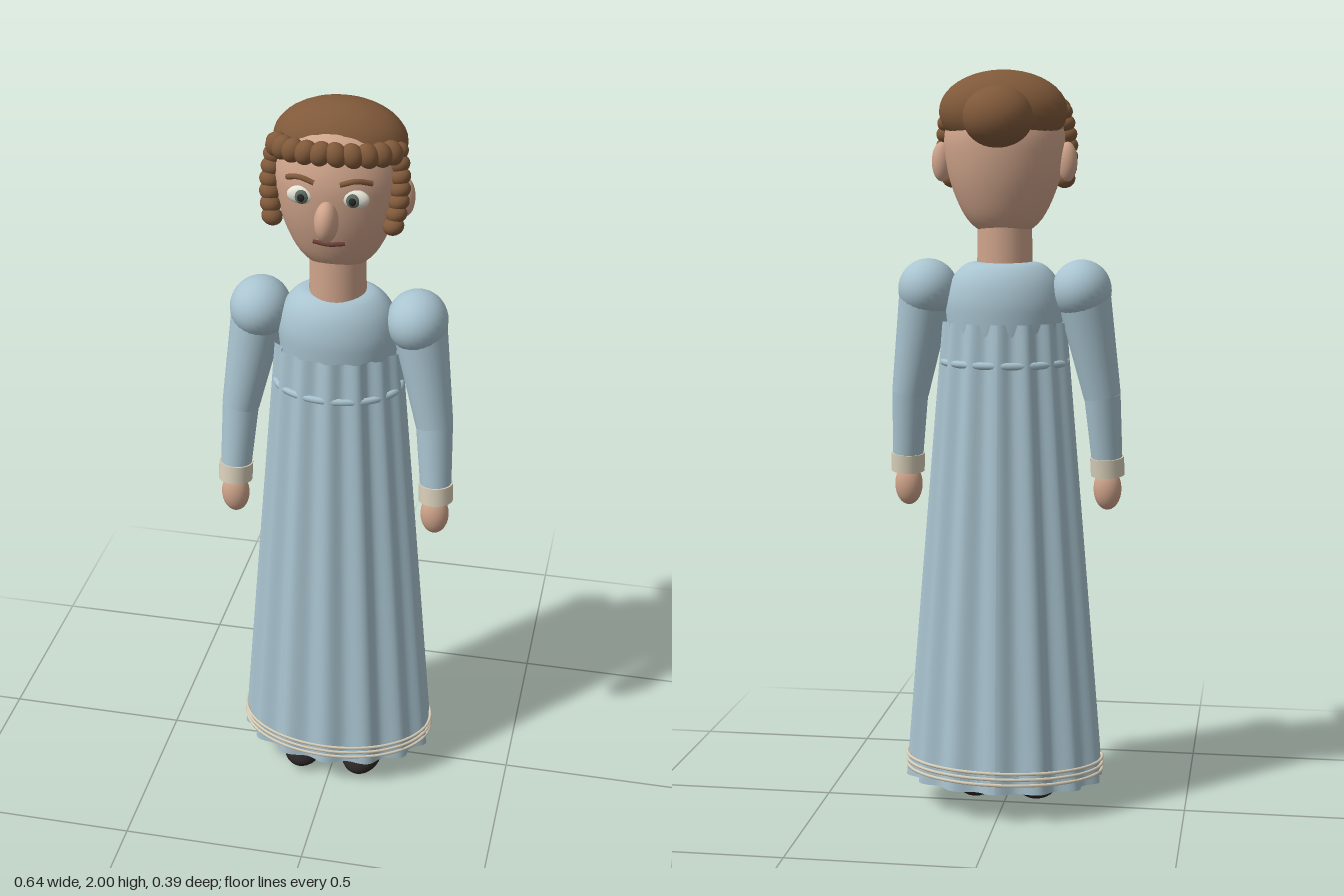
import * as THREE from 'three';

const mat = (name, color, side = THREE.FrontSide) => {
  const m = new THREE.MeshStandardMaterial({ color, side });
  m.name = name;
  return m;
};

export function createModel() {
  const dress = mat('dressBlue', 0xa9c4d0, THREE.DoubleSide);
  const skin = mat('skin', 0xcfa48b);
  const hair = mat('hairBrown', 0x80593a);
  const cream = mat('cream', 0xd8cfb9);
  const white = mat('eyeWhite', 0xe6e3d6);
  const iris = mat('irisGreen', 0x5f6f62);
  const black = mat('shoeBlack', 0x2a2525);
  const lip = mat('lip', 0x6b3f38);

  const model = new THREE.Group();
  model.name = 'figure';
  const add = (name, geometry, material, x = 0, y = 0, z = 0, parent = model) => {
    const mesh = new THREE.Mesh(geometry, material);
    mesh.name = name;
    mesh.position.set(x, y, z);
    parent.add(mesh);
    return mesh;
  };
  const ball = (name, material, x, y, z, rx, ry, rz, parent) =>
    add(name, new THREE.SphereGeometry(1, 28, 20).scale(rx, ry, rz), material, x, y, z, parent);
  const lathe = (name, pts, material, depth, z) => {
    const curve = new THREE.SplineCurve(pts.map(p => new THREE.Vector2(...p)));
    const profile = curve.getPoints(36);
    profile.forEach(p => { p.x = Math.max(p.x, 0); });
    return add(name, new THREE.LatheGeometry(profile, 48, Math.PI).scale(1, 1, depth), material, 0, 0, z);
  };
  const tube = (name, pts, r, material, parent) => {
    const path = new THREE.CatmullRomCurve3(pts.map(p => new THREE.Vector3(...p)));
    return add(name, new THREE.TubeGeometry(path, 16, r, 8), material, 0, 0, 0, parent);
  };
  // horizontal elliptical ring
  const ring = (name, y, a, b, r, material, z) => {
    const g = new THREE.TorusGeometry(a, r, 8, 80).rotateX(Math.PI / 2).scale(1, 1, b / a);
    return add(name, g, material, 0, y, z);
  };

  // pleated skirt: a tube whose rim ripples fourteen times round
  const skirtY0 = 0.08, skirtY1 = 1.34, mid = 0.006;
  const widthAt = y => 0.275 - 0.107 * (y - skirtY0) / (skirtY1 - skirtY0);
  const depthAt = y => 0.187 - 0.058 * (y - skirtY0) / (skirtY1 - skirtY0);
  const pleat = (g, yOf) => {
    const p = g.attributes.position;
    for (let i = 0; i < p.count; i++) {
      const x = p.getX(i), z = p.getZ(i), y = yOf(p.getY(i));
      const r = Math.hypot(x, z) < 0.01 ? 0 : 0.957 + 0.043 * Math.cos(14 * Math.atan2(x, z));
      p.setXYZ(i, x * r * widthAt(y), y, z * r * depthAt(y));
    }
    g.computeVertexNormals();
    return g;
  };
  add('skirt', pleat(new THREE.CylinderGeometry(1, 1, 1, 168, 12, true, Math.PI),
    t => skirtY0 + (t + 0.5) * (skirtY1 - skirtY0)), dress, 0, 0, mid);
  add('skirtUnderside', pleat(new THREE.CircleGeometry(1, 168).rotateX(Math.PI / 2), () => skirtY0),
    dress, 0, 0, mid);
  ring('sash', 1.232, widthAt(1.232) * 0.94, depthAt(1.232) * 0.94, 0.01, dress, mid);
  for (const y of [0.108, 0.124, 0.14]) ring('hemTrim', y, 0.271, 0.186, 0.0045, cream, mid);

  // bodice and neck
  lathe('bodice', [[0.13, 1.15], [0.143, 1.25], [0.155, 1.34], [0.157, 1.4], [0.14, 1.455],
    [0.105, 1.492], [0.06, 1.5], [0, 1.5]], dress, 0.78, 0.004);
  add('neck', new THREE.CylinderGeometry(0.072, 0.074, 0.16, 32), skin, 0, 1.56, 0.01);

  // head and nose
  lathe('head', [[0, 1.57], [0.05, 1.573], [0.1, 1.612], [0.138, 1.69], [0.157, 1.77],
    [0.158, 1.84], [0.13, 1.91], [0.07, 1.955], [0, 1.965]], skin, 0.85, 0.006);
  ball('nose', skin, 0, 1.742, 0.148, 0.03, 0.052, 0.04);
  tube('mouth', [[-0.04, 1.673, 0.113], [0, 1.671, 0.121], [0.04, 1.673, 0.113]], 0.006, lip);

  // hair cap and bun
  ball('hairCap', hair, 0, 1.893, -0.02, 0.17, 0.107, 0.118);
  ball('hairBun', hair, 0, 1.877, -0.115, 0.092, 0.08, 0.08);

  // everything that comes in pairs
  for (const s of [1, -1]) {
    const side = new THREE.Group();
    side.name = s > 0 ? 'leftSide' : 'rightSide';
    model.add(side);

    // face
    ball('ear', skin, s * 0.168, 1.762, 0, 0.026, 0.052, 0.024, side);
    ball('eyeball', white, s * 0.066, 1.8, 0.126, 0.037, 0.024, 0.016, side);
    ball('iris', iris, s * 0.064, 1.799, 0.138, 0.017, 0.018, 0.008, side);
    ball('pupil', black, s * 0.064, 1.799, 0.145, 0.009, 0.01, 0.006, side);
    tube('eyebrow', [[s * 0.032, 1.837, 0.136], [s * 0.07, 1.847, 0.13], [s * 0.106, 1.836, 0.108]],
      0.007, hair, side);

    // front curls
    for (let i = 0; i < 5; i++) {
      const a = 0.12 + i * 0.25;
      const curl = ball('frontCurl', hair, s * 0.16 * Math.sin(a), 1.908 - 0.01 * (i / 4),
        0.005 + 0.118 * Math.cos(a), 0.027, 0.032, 0.026, side);
      curl.rotation.z = s * 0.4;
    }
    // hanging ringlets
    for (let i = 0; i < 7; i++) {
      const t = i / 6;
      const curl = ball('ringlet', hair, s * (0.152 + 0.012 * Math.sin(t * 3)), 1.89 - 0.175 * t,
        0.022 + 0.055 * t, 0.027, 0.023, 0.026, side);
      curl.rotation.z = s * 0.3;
    }

    // sleeve: puff, upper arm, forearm
    ball('puffSleeve', dress, s * 0.207, 1.425, 0.004, 0.08, 0.081, 0.088, side);
    const limb = (name, from, to, r0, r1, material) => {
      const a = new THREE.Vector3(...from), b = new THREE.Vector3(...to);
      const dir = b.clone().sub(a), c = a.clone().add(b).multiplyScalar(0.5);
      const m = add(name, new THREE.CylinderGeometry(r1, r0, dir.length(), 24), material, c.x, c.y, c.z, side);
      m.quaternion.setFromUnitVectors(new THREE.Vector3(0, 1, 0), dir.normalize());
    };
    limb('upperSleeve', [s * 0.213, 1.41, 0.002], [s * 0.262, 1.14, 0.026], 0.072, 0.05, dress);
    limb('lowerSleeve', [s * 0.262, 1.145, 0.025], [s * 0.275, 0.95, 0.05], 0.049, 0.041, dress);
    limb('cuff', [s * 0.274, 0.972, 0.048], [s * 0.276, 0.922, 0.053], 0.046, 0.046, cream);
    ball('hand', skin, s * 0.275, 0.882, 0.06, 0.038, 0.058, 0.033, side);

    // shoe
    ball('shoe', black, s * 0.085, 0.04, 0.07, 0.058, 0.04, 0.094, side);
  }
  return model;
}
